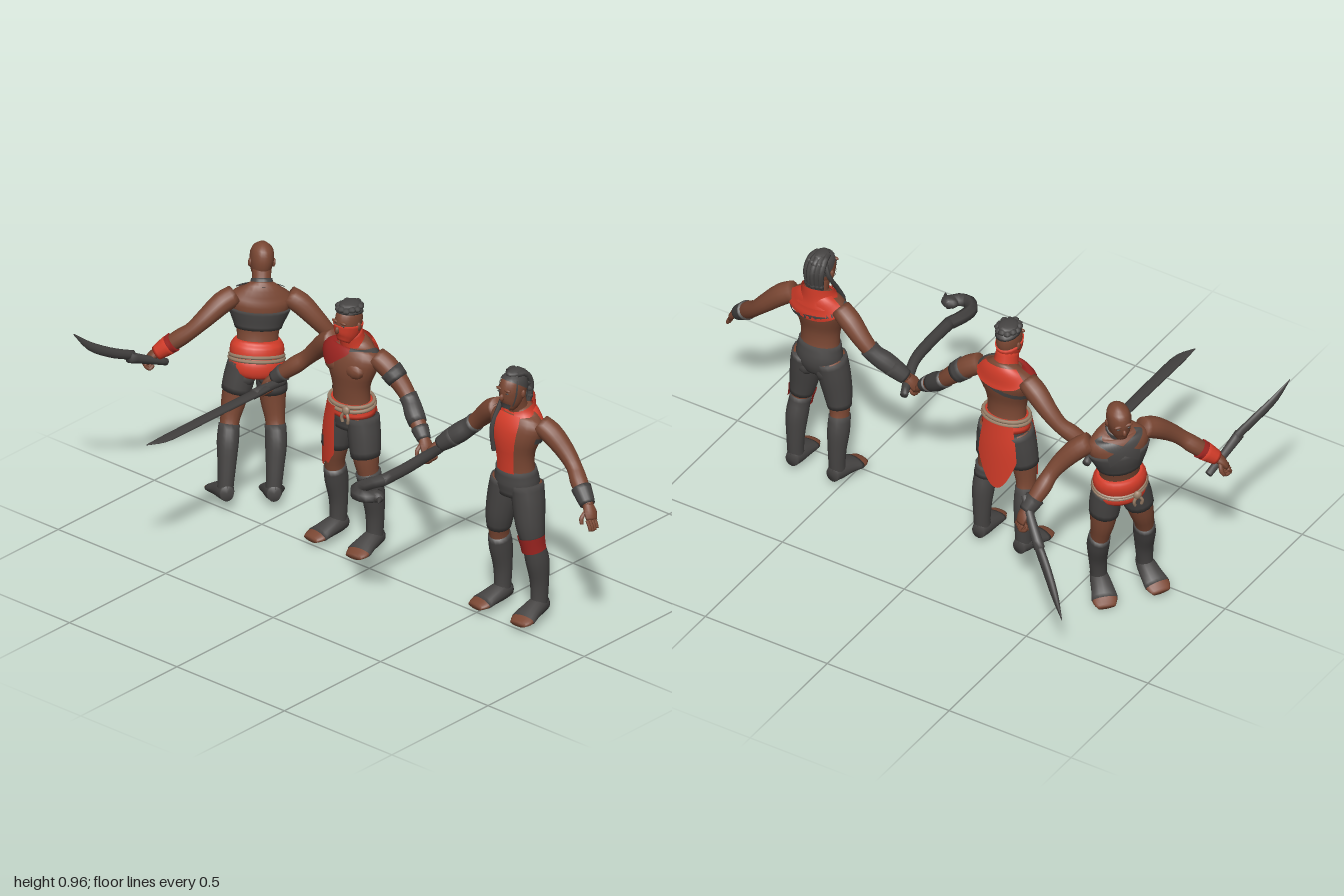
import * as THREE from 'three';
import { mergeVertices } from 'three/addons/utils/BufferGeometryUtils.js';
import { ParametricGeometry } from 'three/addons/geometries/ParametricGeometry.js';

const mat = (name, color, side = THREE.DoubleSide) => Object.assign(new THREE.MeshStandardMaterial({ color, side }), { name });
const V = (x, y, z) => new THREE.Vector3(x, y, z);
const Y = V(0, 1, 0), Z = V(0, 0, 1), TAU = Math.PI * 2;
const lerp = THREE.MathUtils.lerp, clamp = THREE.MathUtils.clamp;
const mirror = (rings, s) => rings.map(([x, ...rest]) => [x * s, ...rest]);

// Smooth surface through rings [x, y, z, radiusA, radiusB]; addressed by ring index and angle
function surface(rings, ref = Z) {
  const centre = new THREE.CatmullRomCurve3(rings.map(r => V(r[0], r[1], r[2])), false, 'catmullrom');
  const radii = new THREE.CatmullRomCurve3(rings.map(r => V(r[3], r[4] ?? r[3], 0)), false, 'catmullrom');
  const at = (i, phi, grow = 0, k = 1) => {
    const t = clamp(i / (rings.length - 1), 0, 1);
    const T = centre.getTangent(t), U = ref.clone().cross(T).normalize(), W = T.clone().cross(U);
    const r = radii.getPoint(t);
    return centre.getPoint(t).addScaledVector(U, k * (r.x + grow) * Math.cos(phi)).addScaledVector(W, k * (r.y + grow) * Math.sin(phi));
  };
  at.last = rings.length - 1;
  return at;
}

function add(parent, name, geometry, material) {
  const mesh = new THREE.Mesh(geometry, material);
  mesh.name = name;
  parent.add(mesh);
  return mesh;
}

function smooth(fn, nu, nv) {
  let g = new ParametricGeometry(fn, nu, nv);
  g.deleteAttribute('normal');
  g.deleteAttribute('uv');
  g = mergeVertices(g, 1e-5);
  g.computeVertexNormals();
  return g;
}

// Closed tube over a stretch of a surface
function tube(parent, name, m, s, i0 = 0, i1 = s.last, grow = 0, seg = 16) {
  const rows = Math.ceil((i1 - i0) * 3) + 3;
  return add(parent, name, smooth((u, v, out) => {
    const row = v * rows, i = lerp(i0, i1, clamp((row - 1) / (rows - 2), 0, 1));
    out.copy(s(i, u * TAU, grow, row < 0.5 || row > rows - 0.5 ? 0 : 1));
  }, seg, rows), m);
}

// Open cloth patch between two angles; span(u, phi) gives its two ring indices
function patch(parent, name, m, s, span, p0, p1, grow = 0.006) {
  return add(parent, name, smooth((u, v, out) => {
    const phi = lerp(p0, p1, u), [a, b] = span(u, phi);
    out.copy(s(lerp(a, b, v), phi, grow));
  }, 20, 8), m);
}

const strap = (parent, m, s, mid, tilt, phase, w = 0.22, p0 = 0, p1 = TAU) =>
  patch(parent, 'strap', m, s, (u, p) => { const c = mid + tilt * Math.cos(p - phase); return [c - w, c + w]; }, p0, p1, 0.008);

function blob(parent, name, m, p, size, seg = 10) {
  const b = add(parent, name, new THREE.SphereGeometry(1, seg, seg - 2), m);
  b.position.set(...p);
  b.scale.set(...size);
  return b;
}

function cord(parent, name, m, points, r, closed = false) {
  const path = new THREE.CatmullRomCurve3(points.map(p => p.isVector3 ? p : V(...p)), closed);
  return add(parent, name, new THREE.TubeGeometry(path, closed ? 32 : 12, r, 6, closed), m);
}

// Body cross-sections, written for the left side
const TORSO = [[0, .47, 0, .068, .052], [0, .52, -.005, .081, .063], [0, .58, 0, .073, .054], [0, .64, .003, .077, .055],
  [0, .70, 0, .1, .065], [0, .75, -.01, .113, .063], [0, .785, -.02, .08, .046], [0, .812, -.015, .036, .036]];
const LEG = [[.048, .52, -.005, .046, .058], [.058, .45, 0, .05, .054], [.07, .37, .005, .044, .047], [.08, .30, 0, .034, .038],
  [.085, .23, -.015, .035, .041], [.085, .15, -.025, .029, .031], [.085, .08, -.025, .025, .028], [.085, .045, -.02, .026, .03]];
const FOOT = [[.083, .05, -.055, .022, .026], [.085, .052, -.02, .031, .032], [.09, .045, .03, .038, .025],
  [.097, .035, .075, .044, .016], [.1, .03, .105, .032, .01]];
const ARM = [[.095, .762, -.02, .037], [.141, .734, -.03, .039], [.196, .682, -.038, .033], [.24, .637, -.034, .028],
  [.277, .603, -.016, .031], [.32, .565, .002, .026], [.35, .538, .014, .019]];
const PALM = [[.345, .545, .012, .018, .02], [.365, .525, .022, .015, .027], [.378, .503, .03, .011, .024]];
const HEAD = [[0, .812, .042, .018, .02], [0, .835, .03, .032, .042], [0, .865, .02, .04, .054],
  [0, .895, .015, .042, .056], [0, .925, .01, .035, .046], [0, .945, .008, .012, .016]];

function makeHand(parent, m, side, grip) {
  tube(parent, 'palm', m, surface(mirror(PALM, side)), 0, 2, 0, 10);
  for (let k = 0; k < 4; k++) {
    const z = .016 + k * .0115;
    const path = grip ? [[.375, .508, z], [.387, .492, z], [.37, .48, z], [.357, .493, z]]
      : [[.375, .508, z], [.388, .488, z + .002], [.393, .468 + Math.abs(k - 1.5) * .004, z + .003]];
    tube(parent, 'finger', m, surface(mirror(path.map(p => [...p, .0065]), side)), 0, path.length - 1, 0, 6);
  }
  tube(parent, 'thumb', m, surface(mirror([[.355, .53, .037, .008], [.352, .51, .054, .008], [.36, .492, .062, .006]], side)), 0, 2, 0, 6);
}

// Bare figure with wrapped feet; returns its surfaces for dressing
function makeFigure(name, m, grips) {
  const body = new THREE.Group();
  body.name = name;
  const torso = surface(TORSO), head = surface(HEAD), arm = {}, leg = {};
  tube(body, 'torso', m.skin, torso, 0, 7, 0, 24);
  tube(body, 'neck', m.skin, surface([[0, .775, -.018, .04], [0, .81, -.008, .034], [0, .855, .005, .034]]));
  tube(body, 'head', m.skin, head, 0, 5, 0, 20);
  blob(body, 'nose', m.skin, [0, .868, .075], [.008, .014, .01]);
  for (const s of [1, -1]) {
    arm[s] = surface(mirror(ARM, s));
    leg[s] = surface(mirror(LEG, s));
    tube(body, 'arm', m.skin, arm[s]);
    tube(body, 'leg', m.skin, leg[s]);
    const foot = surface(mirror(FOOT, s), Y);
    tube(body, 'footWrap', m.cloth, foot, 0, 2.9, .002);
    tube(body, 'toes', m.skin, foot, 2.5, 4);
    blob(body, 'glute', m.cloth, [s * .04, .475, -.034], [.038, .04, .03]);
    blob(body, 'ear', m.skin, [s * .042, .872, .01], [.007, .016, .011], 8);
    blob(body, 'eye', m.cloth, [s * .018, .885, .068], [.008, .003, .003], 8);
    blob(body, 'brow', m.skin, [s * .018, .896, .066], [.016, .006, .007], 8);
    makeHand(body, m.skin, s, grips.includes(s));
  }
  return { body, torso, head, arm, leg };
}

function ropeBelt(f, m, i, grow, gap) {
  for (const d of [-gap, gap])
    cord(f.body, 'ropeBelt', m.rope, Array.from({ length: 20 }, (_, k) => f.torso(i + d, k / 20 * TAU, grow)), .007, true);
  const p = f.torso(i, 1.95, grow + .008);
  blob(f.body, 'ropeKnot', m.rope, [p.x, p.y, p.z], [.016, .018, .012]);
  for (const s of [-1, 1]) cord(f.body, 'ropeEnd', m.rope, [p, [p.x + s * .015, p.y - .025, p.z + .006], [p.x + s * .012, p.y - .045, p.z + .004]], .006);
}

// Bald swordsman: chest band, crossed front straps, neck band, thick sash
function makeFirst(m) {
  const f = makeFigure('baldFighter', m, [1, -1]), { body, torso, arm, leg } = f;
  tube(body, 'chestBand', m.cloth, torso, 3.0, 4.4, .006, 24);
  for (const [a, b] of [[.35, 2.1], [Math.PI - .35, Math.PI - 2.1]])
    patch(body, 'crossStrap', m.cloth, torso, u => { const c = 6.3 - 2.1 * u; return [c - .35, c + .35]; }, a, b, .009);
  tube(body, 'neckBand', m.cloth, surface([[0, .787, -.018, .05, .046], [0, .80, -.014, .043, .042], [0, .82, -.008, .037, .038]]));
  // Two swelling folds of sash, above and below the rope
  const sash = surface([[0, .478, -.002, .082, .068], [0, .495, -.004, .097, .08], [0, .52, -.005, .1, .082], [0, .538, -.004, .093, .076],
    [0, .558, -.002, .096, .077], [0, .58, 0, .093, .074], [0, .6, 0, .08, .06]]);
  tube(body, 'sash', m.red, sash, 0, 6, 0, 24);
  ropeBelt(f, m, 1.3, .015, .1);
  for (const s of [1, -1]) {
    tube(body, 'shortsLeg', m.cloth, leg[s], 0, 1.5, .005);
    tube(body, 'shinWrap', m.cloth, leg[s], 3.15, 7, .004);
    tube(body, 'wristWrap', s > 0 ? m.red : m.cloth, arm[s], 4.75, 6, .007);
  }
  tube(body, 'redCuff', m.crimson, arm[1], 4.45, 4.85, .006);
  return body;
}

// Masked swordsman: short curly hair, scarf, hanging cloths
function makeSecond(m) {
  const f = makeFigure('maskedFighter', m, [-1]), { body, torso, head, arm, leg } = f;
  tube(body, 'hair', m.cloth, head, 3.8, 5, .006);
  for (let k = 0; k < 12; k++) {
    const a = k / 12 * TAU;
    blob(body, 'curl', m.cloth, [.034 * Math.cos(a), .936 + .004 * (k % 2), .012 + .042 * Math.sin(a)], [.015, .011, .015], 7);
  }
  blob(body, 'hairTop', m.cloth, [0, .945, .01], [.036, .014, .044]);
  tube(body, 'mask', m.red, head, 0, 2.4, .005);
  tube(body, 'scarf', m.red, surface([[0, .768, -.013, .064, .053], [0, .795, -.006, .045, .047], [0, .845, .008, .038, .046]]));
  patch(body, 'scarfDrape', m.crimson, torso, u => [5.2 - 1.1 * Math.sin(u * Math.PI), 6.6], .2, 1.85, .012);
  patch(body, 'scarfBack', m.red, torso, u => [5.7 - .8 * Math.sin(u * Math.PI), 6.6], 3.6, 5.9, .012);
  strap(body, m.cloth, torso, 5, 1, Math.PI - .3);
  for (const s of [1, -1]) {
    blob(body, 'chest', m.skin, [s * .043, .712, .038], [.044, .032, .025]);
    tube(body, 'shortsLeg', m.cloth, leg[s], 0, 1.9, .006);
    tube(body, 'shinWrap', m.cloth, leg[s], s > 0 ? 2.75 : 3.2, 7, .004);
    tube(body, 'wristWrap', m.cloth, arm[s], 4.9, 6, .005);
  }
  tube(body, 'kneePad', m.cloth, leg[1], 2.75, 3.4, .008);
  tube(body, 'shoulderBand', m.cloth, arm[1], 1.2, 1.75, .004);
  tube(body, 'elbowWrap', m.cloth, arm[1], 2.7, 4.6, .004);
  tube(body, 'shorts', m.cloth, torso, 0, 1.5, .005, 24);
  tube(body, 'sash', m.red, torso, 1.2, 2, .009, 24);
  ropeBelt(f, m, 1.85, .013, .12);
  const skirt = surface([[0, .57, 0, .086, .07], [0, .45, -.003, .114, .074], [0, .28, -.005, .12, .072]]);
  patch(body, 'frontCloth', m.red, skirt, u => [0, 1.4 + .45 * Math.sqrt(u) - .04 * Math.sin(u * 14)], 1.7, 2.5);
  patch(body, 'backCloth', m.red, skirt, u => [0, 1.2 + .7 * Math.sin(u * Math.PI)], 4.0, 5.35);
  return body;
}

// Long-haired fighter: open vest, collar, full trousers
function makeThird(m) {
  const f = makeFigure('vestFighter', m, [-1]), { body, torso, head, arm, leg } = f;
  patch(body, 'vestFront', m.red, torso, () => [1.95, 6.8], 1.02, 2.05, .007);
  patch(body, 'vestBack', m.red, torso, u => [5.6 - 1.1 * Math.sin(u * Math.PI), 6.8], 3.2, 6.2, .008);
  const collar = surface([[0, .768, -.016, .092, .06], [0, .80, -.018, .06, .054], [0, .85, -.02, .05, .052]]);
  patch(body, 'collar', m.red, collar, (u, p) => [0, 1.5 - .5 * Math.sin(p)], 1.9, 1.2 + TAU, .002);
  strap(body, m.cloth, torso, 4.8, .7, 0, .18, Math.PI - .3, TAU + .4);
  patch(body, 'hairCap', m.cloth, head, (u, p) => [3.25 + (Math.sin(p) > 0 ? .75 : 1) * Math.sin(p), 5], 0, TAU, .004);
  patch(body, 'beard', m.cloth, head, () => [0, .7], .7, 2.45, .004);
  for (const s of [1, -1]) {
    const a = Math.PI / 2 + s * 1.1;
    patch(body, 'sideburn', m.cloth, head, () => [.6, 4], a - .06, a + .06, .004);
    tube(body, 'trouserLeg', m.cloth, leg[s], 0, 2.75, .006);
    tube(body, 'shinWrap', m.cloth, leg[s], s > 0 ? 2.9 : 3.25, 7, .004);
    tube(body, 'wristWrap', m.cloth, arm[s], 4.4, 5.75, .006);
  }
  // Bumpy locks from the crown to the nape
  for (let k = -2; k <= 2; k++) {
    const x = k * .014, b = Math.abs(k) * .005;
    cord(body, 'hairLock', m.cloth, [[x * .7, .942, .02], [x, .938, -.025 + b], [x * 1.1, .90, -.052 + b], [x, .86, -.052 + b], [x * .9, .825, -.045 + b]], .011);
    for (let j = 0; j < 4; j++)
      blob(body, 'hairCurl', m.cloth, [x, .925 - j * .027, -.05 + b + (j === 0 ? .012 : 0)], [.012, .013, .012], 7);
  }
  blob(body, 'hairTop', m.cloth, [0, .942, .008], [.026, .014, .038]);
  cord(body, 'longBraid', m.cloth, [[-.025, .935, -.01], [-.044, .89, -.02], [-.052, .80, .03], [-.055, .73, .064], [-.05, .64, .06]], .009);
  tube(body, 'elbowWrap', m.cloth, arm[-1], 2.6, 4.7, .005);
  tube(body, 'trouserWaist', m.cloth, torso, 0, 1.95, .006, 24);
  patch(body, 'kneeBand', m.crimson, leg[1], () => [2.5, 3.25], -.35, Math.PI + .1, .011);
  return body;
}

function weapon(root, name, m, rings) {
  return tube(root, name, m, surface(rings, Y), 0, rings.length - 1, 0, 10);
}

export function createModel() {
  const m = {
    skin: mat('skin', 0x7a4733, THREE.FrontSide), cloth: mat('charcoalCloth', 0x464443), red: mat('redCloth', 0xd33c29),
    crimson: mat('crimsonCloth', 0x9c2420), rope: mat('rope', 0x9b816a, THREE.FrontSide), steel: mat('darkSteel', 0x413f3e, THREE.FrontSide),
  };
  const root = new THREE.Group();
  root.name = 'threeFighters';

  const first = makeFirst(m);
  first.position.set(-.635, .006, -.075);
  first.rotation.set(.17, -2.24, .09, 'YXZ');
  const second = makeSecond(m);
  second.position.set(-.16, 0, -.088);
  const third = makeThird(m);
  third.position.set(.605, 0, -.088);
  root.add(first, second, third);

  // Curved pair of swords
  weapon(root, 'leftSwordHandle', m.cloth, [[-.9, .515, .05, .013], [-.91, .55, .13, .015], [-.92, .59, .22, .018, .02]]);
  weapon(root, 'leftSwordBlade', m.steel, [[-.92, .592, .2, .013, .017], [-.942, .623, .28, .013, .018], [-.972, .668, .36, .01, .016], [-1, .73, .42, .001, .002]]);
  weapon(root, 'rightSwordHandle', m.cloth, [[-.45, .55, -.43, .014], [-.5, .48, -.465, .017], [-.555, .405, -.5, .02, .022]]);
  weapon(root, 'rightSwordBlade', m.steel, [[-.545, .415, -.495, .014, .021], [-.6, .34, -.522, .014, .023], [-.655, .27, -.556, .011, .019], [-.71, .22, -.6, .001, .002]]);

  // Long straight sword
  weapon(root, 'longSwordHandle', m.cloth, [[-.505, .51, -.12, .014], [-.495, .525, -.04, .016], [-.485, .535, .06, .019]]);
  weapon(root, 'longSwordBlade', m.steel, [[-.48, .537, .0, .022, .009], [-.48, .54, .25, .023, .008], [-.48, .54, .42, .024, .007],
    [-.482, .54, .53, .022, .005], [-.498, .54, .6, .002, .002]]);

  // Hooked club
  weapon(root, 'club', m.steel, [[.235, .51, -.13, .014], [.265, .53, -.05, .018], [.288, .545, .03, .02], [.297, .545, .15, .021], [.297, .545, .27, .022]]);
  cord(root, 'clubHook', m.steel, [[.297, .545, .26], [.277, .545, .32], [.275, .545, .37], [.305, .545, .4], [.345, .545, .39], [.36, .545, .36]], .024);
  blob(root, 'clubHeadTip', m.steel, [.36, .545, .365], [.033, .022, .026]);
  weapon(root, 'clubSpike', m.steel, [[.35, .545, .35, .018], [.38, .545, .372, .012], [.4, .545, .4, .002]]);
  return root;
}
